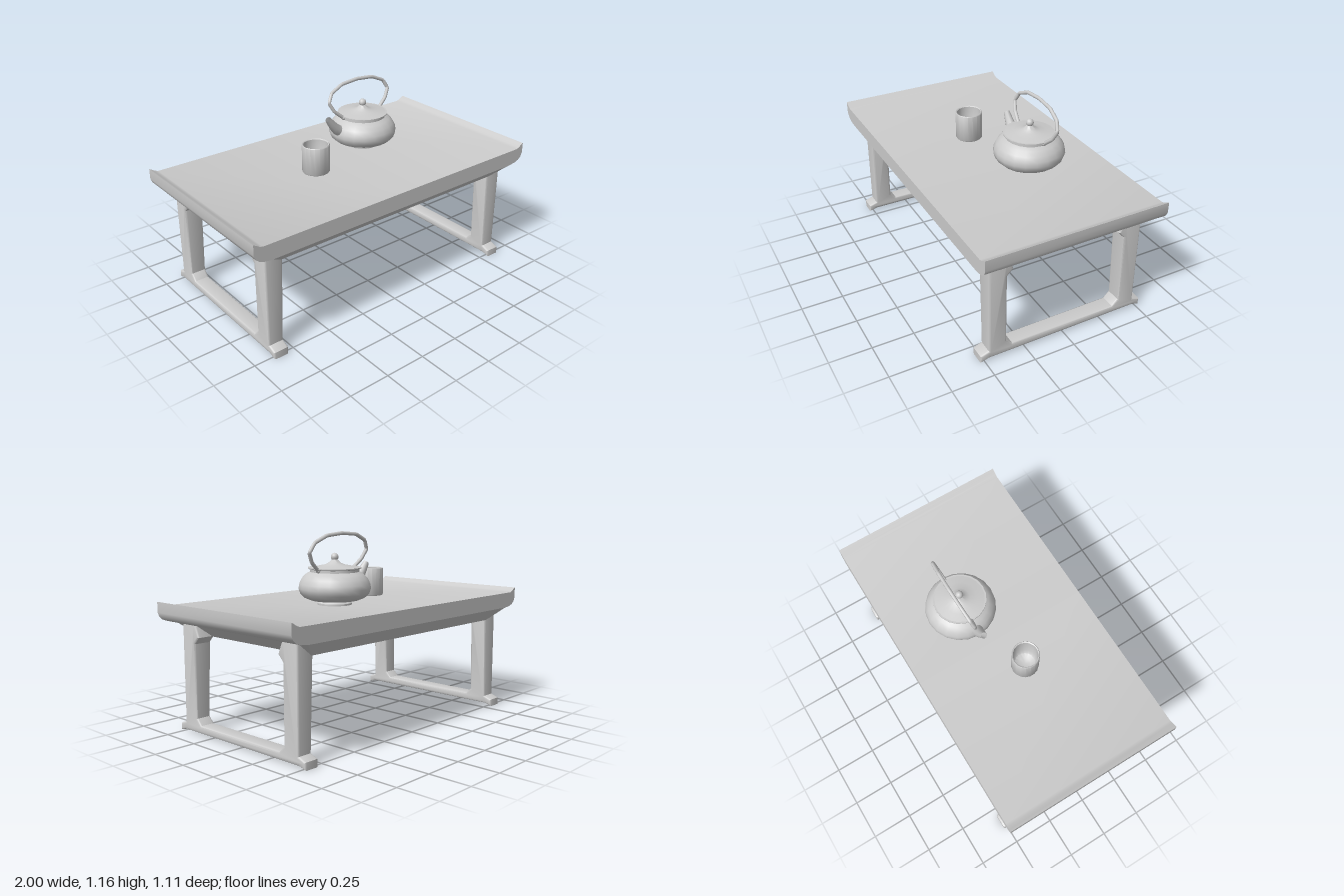
import * as THREE from 'three';
import { toCreasedNormals } from 'three/addons/utils/BufferGeometryUtils.js';

const material = new THREE.MeshStandardMaterial({ color: 0xcccccc, side: THREE.DoubleSide });

function mesh(geometry, name, parent) {
  const m = new THREE.Mesh(geometry, material);
  m.name = name;
  parent.add(m);
  return m;
}

// Moves every vertex of a geometry by a rule
function reshape(geometry, rule) {
  const p = geometry.attributes.position;
  const v = new THREE.Vector3();
  for (let i = 0; i < p.count; i++) {
    v.fromBufferAttribute(p, i);
    rule(v);
    p.setXYZ(i, v.x, v.y, v.z);
  }
  geometry.computeVertexNormals();
  return geometry;
}

const lathe = (points, segments) =>
  toCreasedNormals(new THREE.LatheGeometry(points.map(([r, y]) => new THREE.Vector2(r, y)), segments), 0.7);

// Closed outline from one half, mirrored across the vertical axis
function mirroredShape(half) {
  const other = half.filter(([x]) => x !== 0).reverse().map(([x, y]) => [-x, y]);
  return new THREE.Shape([...half, ...other].map(([x, y]) => new THREE.Vector2(x, y)));
}

function createTable() {
  const table = new THREE.Group();
  table.name = 'table';

  // Board with raised lips at both ends and rounded lower edges
  const board = mirroredShape([
    [0, 0.65], [0.89, 0.65], [0.94, 0.656], [0.97, 0.667], [0.99, 0.685], [1, 0.71],
    [1, 0.772], [0.985, 0.765], [0.965, 0.752], [0.945, 0.745], [0, 0.745],
  ]);
  const boardGeometry = new THREE.ExtrudeGeometry(board, { depth: 1.11, bevelEnabled: false });
  boardGeometry.translate(0, 0, -0.555);
  mesh(toCreasedNormals(boardGeometry, 0.6), 'tableTop', table);

  // Sloping underside
  const under = new THREE.BoxGeometry(2, 0.08, 2).toNonIndexed();
  reshape(under, (v) => {
    const top = v.y > 0;
    v.x *= top ? 0.89 : 0.79;
    v.z *= top ? 0.555 : 0.475;
    v.y = top ? 0.651 : 0.572;
  });
  mesh(under, 'underside', table);

  // Leg frames: two posts joined by a low rail with flared feet
  const frame = mirroredShape([
    [0, 0.018], [0.475, 0.018], [0.525, 0.004], [0.525, 0.048], [0.475, 0.066],
    [0.475, 0.655], [0.365, 0.655], [0.33, 0.575], [0.367, 0.535],
    [0.367, 0.1], [0.33, 0.064], [0, 0.064],
  ]);
  const bevel = 0.012;
  for (const side of [1, -1]) {
    const geometry = new THREE.ExtrudeGeometry(frame, {
      depth: 0.095 - 2 * bevel, bevelSize: bevel, bevelThickness: bevel, bevelOffset: -bevel, bevelSegments: 3,
    });
    geometry.translate(0, 0, -0.0475);
    geometry.translate(0, 0, bevel);
    geometry.rotateY(side * Math.PI / 2);
    reshape(geometry, (v) => {
      // Posts thicken inwards towards the top
      if (v.x * side < 0) v.x -= side * 0.02 * Math.min(1, Math.max(0, (v.y - 0.05) / 0.52));
      v.x += side * 0.8425;
    });
    mesh(toCreasedNormals(geometry, 0.6), side > 0 ? 'leftLegFrame' : 'rightLegFrame', table);
  }
  return table;
}

function createTeapot() {
  const teapot = new THREE.Group();
  teapot.name = 'teapot';

  // Squat body with foot, neck and rim
  mesh(lathe([
    [0, 0.747], [0.1, 0.747], [0.1, 0.757], [0.088, 0.768], [0.14, 0.774], [0.175, 0.788], [0.2, 0.812],
    [0.21, 0.842], [0.206, 0.868], [0.192, 0.897], [0.168, 0.922], [0.142, 0.936],
    [0.142, 0.95], [0.155, 0.955], [0.155, 0.961], [0, 0.961],
  ], 20), 'body', teapot);

  // Lid and knob
  mesh(lathe([
    [0.152, 0.96], [0.1, 0.968], [0.06, 0.976], [0.038, 0.985], [0.023, 0.998], [0.013, 1.01], [0, 1.01],
  ], 20), 'lid', teapot);
  mesh(new THREE.SphereGeometry(0.023, 12, 8), 'lidKnob', teapot).position.y = 1.02;

  // Spout, narrowing towards the open tip
  const path = new THREE.CatmullRomCurve3([
    [-0.15, 0.86], [-0.2, 0.888], [-0.235, 0.925], [-0.271, 0.972],
  ].map(([x, y]) => new THREE.Vector3(x, y, 0)));
  const rows = 8, sides = 10;
  const spout = new THREE.TubeGeometry(path, rows, 1, sides);
  const p = spout.attributes.position;
  const v = new THREE.Vector3();
  for (let i = 0; i < p.count; i++) {
    const t = Math.floor(i / (sides + 1)) / rows;
    const centre = path.getPointAt(t);
    v.fromBufferAttribute(p, i).sub(centre).multiplyScalar(0.042 - 0.024 * t).add(centre);
    p.setXYZ(i, v.x, v.y, v.z);
  }
  mesh(spout, 'spout', teapot);

  // Arched handle, leaning back, in straight facets
  const half = [[0.145, 0.95], [0.205, 1], [0.235, 1.055], [0.205, 1.11], [0.12, 1.147]];
  const outline = [...half, [0, 1.157], ...half.slice().reverse().map(([x, y]) => [-x, y])];
  const arch = new THREE.CurvePath();
  const at = ([x, y]) => new THREE.Vector3(x, y, -0.008 - (y - 0.94) * 0.23);
  for (let i = 1; i < outline.length; i++) arch.add(new THREE.LineCurve3(at(outline[i - 1]), at(outline[i])));
  mesh(new THREE.TubeGeometry(arch, 60, 0.011, 8), 'handle', teapot);
  for (const x of [0.143, -0.143]) {
    mesh(new THREE.SphereGeometry(0.014, 8, 6), 'handleMount', teapot).position.set(x, 0.949, -0.01);
  }

  teapot.position.set(0.255, 0, -0.123);
  return teapot;
}

export function createModel() {
  const model = new THREE.Group();
  model.name = 'teaTable';
  model.add(createTable(), createTeapot());

  // Straight cup with a rounded hollow
  const cup = lathe([
    [0, 0.747], [0.078, 0.747], [0.082, 0.753], [0.082, 0.915], [0.079, 0.919], [0.073, 0.915],
    [0.072, 0.8], [0.06, 0.775], [0.035, 0.763], [0, 0.76],
  ], 18);
  mesh(cup, 'cup', model).position.set(-0.222, 0, 0.027);
  return model;
}
